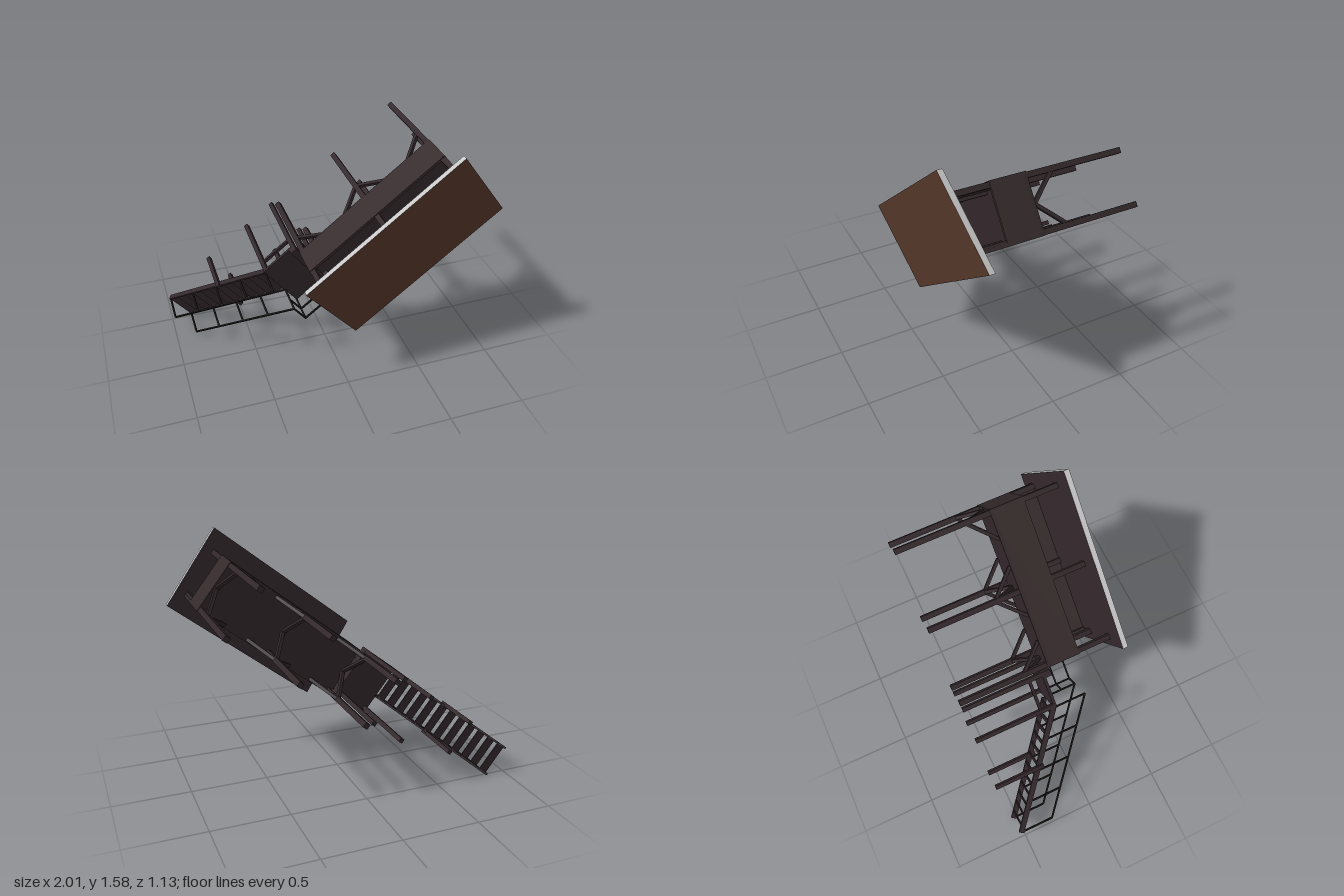
import * as THREE from 'three';

export function createModel() {
  const mat = (name, color, side = THREE.FrontSide) => {
    const m = new THREE.MeshStandardMaterial({ color, side });
    m.name = name;
    return m;
  };
  const wood = mat('dark timber', 0x32272a);
  const wall = mat('wall boards', 0x352a2b);
  const metal = mat('black railing', 0x1c1816);
  const roofTop = mat('brown roofing', 0x5a3a2d);
  const edge = mat('grey roof edge', 0xc8c8c8);

  // Cabin frame: x along the length, y across, z is the cabin's own up.
  const cabin = new THREE.Group();
  cabin.name = 'stiltCabin';
  cabin.rotation.z = THREE.MathUtils.degToRad(38);

  // Box given by its limits on each axis
  const box = (name, m, x0, x1, y0, y1, z0, z1) => {
    const mesh = new THREE.Mesh(new THREE.BoxGeometry(x1 - x0, y1 - y0, z1 - z0), m);
    mesh.position.set((x0 + x1) / 2, (y0 + y1) / 2, (z0 + z1) / 2);
    mesh.name = name;
    cabin.add(mesh);
    return mesh;
  };
  // Square post standing on (x, y)
  const post = (name, m, x, y, z0, z1, s) =>
    box(name, m, x - s / 2, x + s / 2, y - s / 2, y + s / 2, z0, z1);
  // Beam between two points
  const beam = (name, m, a, b, w, h) => {
    const p = new THREE.Vector3(...a), q = new THREE.Vector3(...b);
    const mesh = new THREE.Mesh(new THREE.BoxGeometry(w, h, p.distanceTo(q)), m);
    mesh.up.set(0, 0, 1);
    mesh.position.copy(p).add(q).multiplyScalar(0.5);
    mesh.lookAt(q);
    mesh.name = name;
    cabin.add(mesh);
  };

  // Sloping roof slab, sheared so its edges stay upright
  const slope = (y) => 0.415 + (y - 0.272) * 0.197;
  const roofGeo = new THREE.BoxGeometry(1.193, 0.583, 0.035);
  const pos = roofGeo.attributes.position;
  for (let i = 0; i < pos.count; i++) pos.setZ(i, pos.getZ(i) + pos.getY(i) * 0.197);
  roofGeo.computeVertexNormals();
  const roof = new THREE.Mesh(roofGeo, [edge, edge, edge, edge, roofTop, wood]);
  roof.position.set(0.887, 0.5635, slope(0.5635) + 0.0175);
  roof.name = 'roof';
  cabin.add(roof);

  // Floor, full back wall and half-height walls
  const U0 = 0.34, U1 = 1.42, V0 = 0.381, V1 = 0.742, T = 0.018;
  box('floor', wood, U0, U1, V0, V1, 0.05, 0.07);
  box('tallWall', wall, U0, U1, V0, V0 + T, 0.05, slope(V0));
  box('lowSideWall', wall, U0, U1, V1 - T, V1, 0.05, 0.275);
  box('lowEndWall', wall, U1 - T, U1, V0, V1, 0.05, 0.275);
  box('doorSideWall', wall, U0, U0 + T, V0, 0.5, 0.05, 0.275);
  post('doorPost', wood, 0.36, 0.483, 0.07, slope(0.483), 0.035);

  // Main stilts run from the ground to the roof
  const rows = [0.36, 0.88, 1.4], sides = [0.4, 0.72];
  for (const u of rows) {
    for (const v of sides) {
      post('stilt', wood, u, v, -0.565, slope(v), 0.034);
      // Knee braces along the length
      for (const d of [-0.17, 0.17]) {
        if (u + d < U0 || u + d > U1) continue;
        beam('lengthBrace', wood, [u, v, -0.115], [u + d, v, 0.05], 0.022, 0.022);
      }
      // Knee braces across the width
      beam('crossBrace', wood, [u, v, -0.115], [u, 0.56, 0.05], 0.022, 0.022);
    }
  }

  // Landing with threshold step and its own stilts
  box('landing', wood, 0.073, 0.34, 0.42, 0.772, -0.012, 0.008);
  box('threshold', wood, 0.295, 0.34, 0.42, 0.772, 0.008, 0.048);
  for (const u of [0.09, 0.325])
    for (const v of [0.437, 0.757]) post('landingStilt', wood, u, v, -0.565, -0.012, 0.028);
  beam('landingTie', wood, [0.09, 0.757, -0.1], [0.325, 0.757, -0.1], 0.02, 0.02);

  // Landing railing
  const R = 0.01;
  for (const [u, v] of [[0.075, 0.424], [0.33, 0.424]])
    post('landingRailPost', metal, u, v, -0.012, 0.22, R);
  for (const z of [0.115, 0.215]) {
    beam('landingRail', metal, [0.075, 0.424, z], [0.335, 0.424, z], R, R);
    beam('landingRail', metal, [0.075, 0.424, z], [0.075, 0.545, z], R, R);
  }

  // Staircase: stringers, open treads, supports and handrails
  const top = 0.075, foot = -0.667, drop = 0.51;
  const stairZ = (u) => -0.015 - ((top - u) / (top - foot)) * drop;
  for (const v of [0.545, 0.757]) {
    beam('stringer', wood, [top, v, stairZ(top)], [foot, v, stairZ(foot)], 0.014, 0.036);
    beam('handrail', metal, [top, v, 0.215], [foot, v, 0.215 - drop], R, R);
    for (let i = 0; i <= 4; i++) {
      const u = top + ((foot - top) * i) / 4;
      post('handrailPost', metal, u, v, stairZ(u), stairZ(u) + 0.23, R);
    }
  }
  for (const v of [0.537, 0.765]) post('stairStilt', wood, -0.27, v, -0.565, -0.215, 0.026);
  const steps = 12;
  for (let i = 0; i < steps; i++) {
    const u = top + ((foot - top) * (i + 0.5)) / steps;
    box('tread', wood, u - 0.03, u + 0.03, 0.545, 0.757, stairZ(u) - 0.004, stairZ(u) + 0.004);
  }

  const model = new THREE.Group();
  model.name = 'cabinOnStilts';
  model.add(cabin);
  return model;
}
